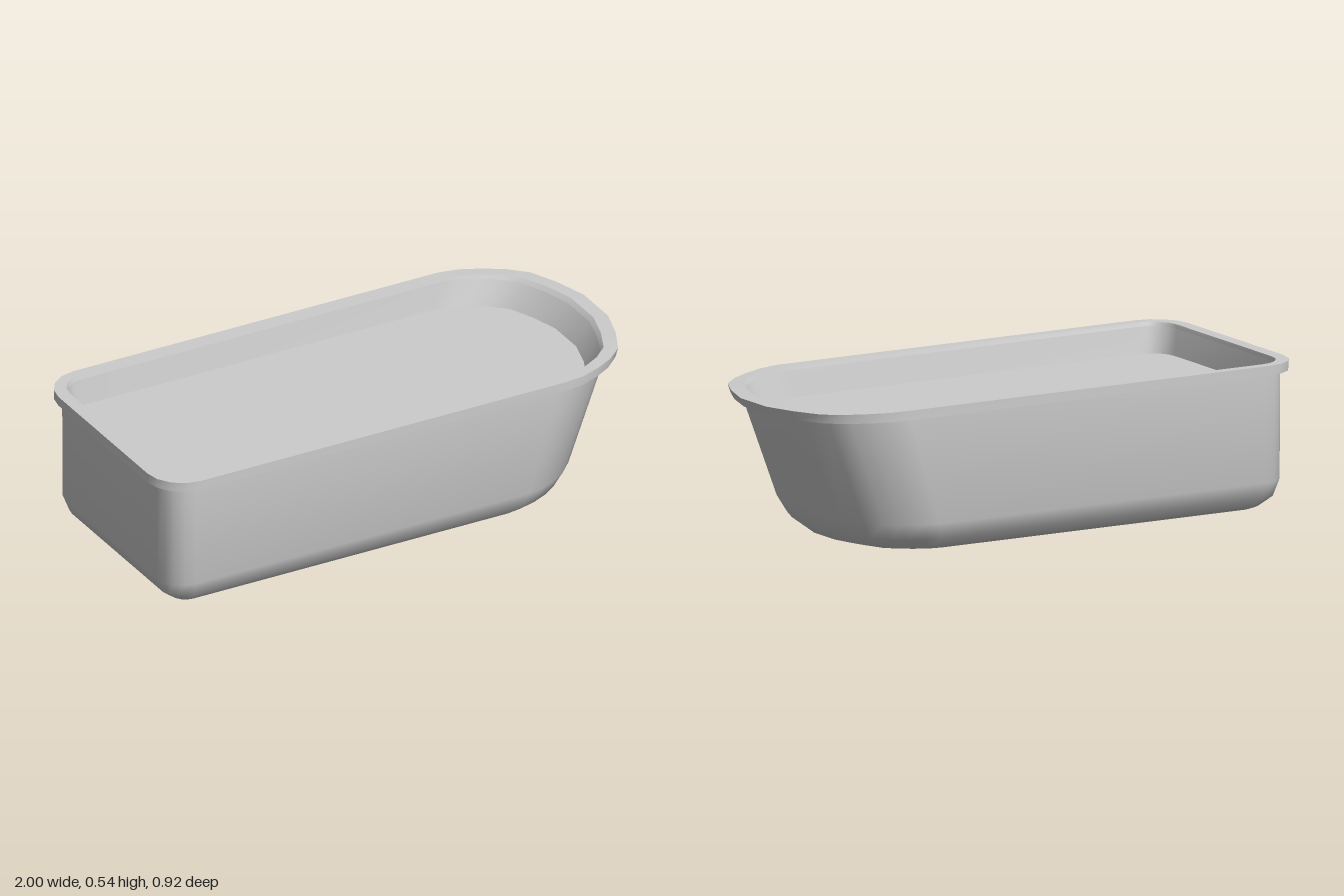
import * as THREE from 'three';
import { toCreasedNormals } from 'three/addons/utils/BufferGeometryUtils.js';

// Quarter of the rounded end: [share of end length, share of half width]
const END = [[0, 1], [0.2, 0.975], [0.41, 0.905], [0.6, 0.815], [0.77, 0.69], [0.9, 0.46], [1, 0.19]];
const CORNER_STEPS = 4;

// One horizontal outline, counter-clockwise from above: small corners at -x, broad round end at +x.
// drop lowers the tip of the round end.
function ring({ y, left, right, half, corner, start, drop = 0 }) {
  const pts = [];
  const addEnd = ([u, v], sign) =>
    pts.push([start + (right - start) * u, y - drop * u, sign * half * v]);
  END.forEach((p) => addEnd(p, 1));
  [...END].reverse().forEach((p) => addEnd(p, -1));
  const addCorner = (i, sign) => {
    const t = (i / CORNER_STEPS) * Math.PI / 2;
    pts.push([left + corner * (1 - Math.sin(t)), y, sign * (half - corner * (1 - Math.cos(t)))]);
  };
  for (let i = 0; i <= CORNER_STEPS; i++) addCorner(i, -1);
  for (let i = CORNER_STEPS; i >= 0; i--) addCorner(i, 1);
  return pts;
}

// Skin a stack of outlines, optionally closing the first (facing down) or last (facing up)
function loft(specs, { capBottom = false, capTop = false } = {}) {
  const rings = specs.map(ring);
  const n = rings[0].length;
  const positions = rings.flat(2);
  const index = [];
  for (let i = 0; i < rings.length - 1; i++) {
    for (let j = 0; j < n; j++) {
      const k = (j + 1) % n;
      const a = i * n + j, b = i * n + k, c = a + n, d = b + n;
      index.push(a, b, d, a, d, c);
    }
  }
  const cap = (ringNo, up) => {
    const centre = positions.length / 3;
    positions.push(0, specs[ringNo].y, 0);
    for (let j = 0; j < n; j++) {
      const a = ringNo * n + j, b = ringNo * n + (j + 1) % n;
      index.push(centre, ...(up ? [a, b] : [b, a]));
    }
  };
  if (capBottom) cap(0, false);
  if (capTop) cap(rings.length - 1, true);
  const geometry = new THREE.BufferGeometry();
  geometry.setAttribute('position', new THREE.Float32BufferAttribute(positions, 3));
  geometry.setIndex(index);
  return toCreasedNormals(geometry, 0.7);
}

export function createModel() {
  const group = new THREE.Group();
  group.name = 'tub';
  const material = new THREE.MeshStandardMaterial({ color: 0xcccccc, side: THREE.DoubleSide });
  const add = (name, geometry) => {
    const mesh = new THREE.Mesh(geometry, material);
    mesh.name = name;
    group.add(mesh);
  };

  // Outer shell: rounded base, straight sides, sloping round end
  add('outerShell', loft([
    { y: 0, left: -0.87, right: 0.66, half: 0.335, corner: 0.04, start: 0.42 },
    { y: 0.012, left: -0.895, right: 0.705, half: 0.365, corner: 0.055, start: 0.44 },
    { y: 0.05, left: -0.942, right: 0.755, half: 0.408, corner: 0.08, start: 0.47 },
    { y: 0.11, left: -0.965, right: 0.792, half: 0.43, corner: 0.1, start: 0.49 },
    { y: 0.51, left: -0.967, right: 0.952, half: 0.43, corner: 0.1, start: 0.61, drop: 0.01 },
  ], { capBottom: true }));

  // Flanged rim: underside, outer edge, top and inner lip
  add('rim', loft([
    { y: 0.505, left: -0.967, right: 0.947, half: 0.43, corner: 0.1, start: 0.61, drop: 0.01 },
    { y: 0.505, left: -1, right: 0.985, half: 0.462, corner: 0.14, start: 0.62, drop: 0.01 },
    { y: 0.54, left: -1, right: 1, half: 0.462, corner: 0.14, start: 0.62, drop: 0.012 },
    { y: 0.54, left: -0.952, right: 0.945, half: 0.424, corner: 0.1, start: 0.61, drop: 0.008 },
    { y: 0.525, left: -0.95, right: 0.93, half: 0.42, corner: 0.1, start: 0.61, drop: 0.008 },
  ]));

  // Inner wall running down to the flat inner floor
  add('innerWall', loft([
    { y: 0.525, left: -0.95, right: 0.93, half: 0.42, corner: 0.1, start: 0.61, drop: 0.008 },
    { y: 0.43, left: -0.935, right: 0.878, half: 0.403, corner: 0.09, start: 0.57 },
  ]));
  add('innerFloor', loft([
    { y: 0.43, left: -0.935, right: 0.878, half: 0.403, corner: 0.09, start: 0.57 },
  ], { capTop: true }));

  return group;
}
